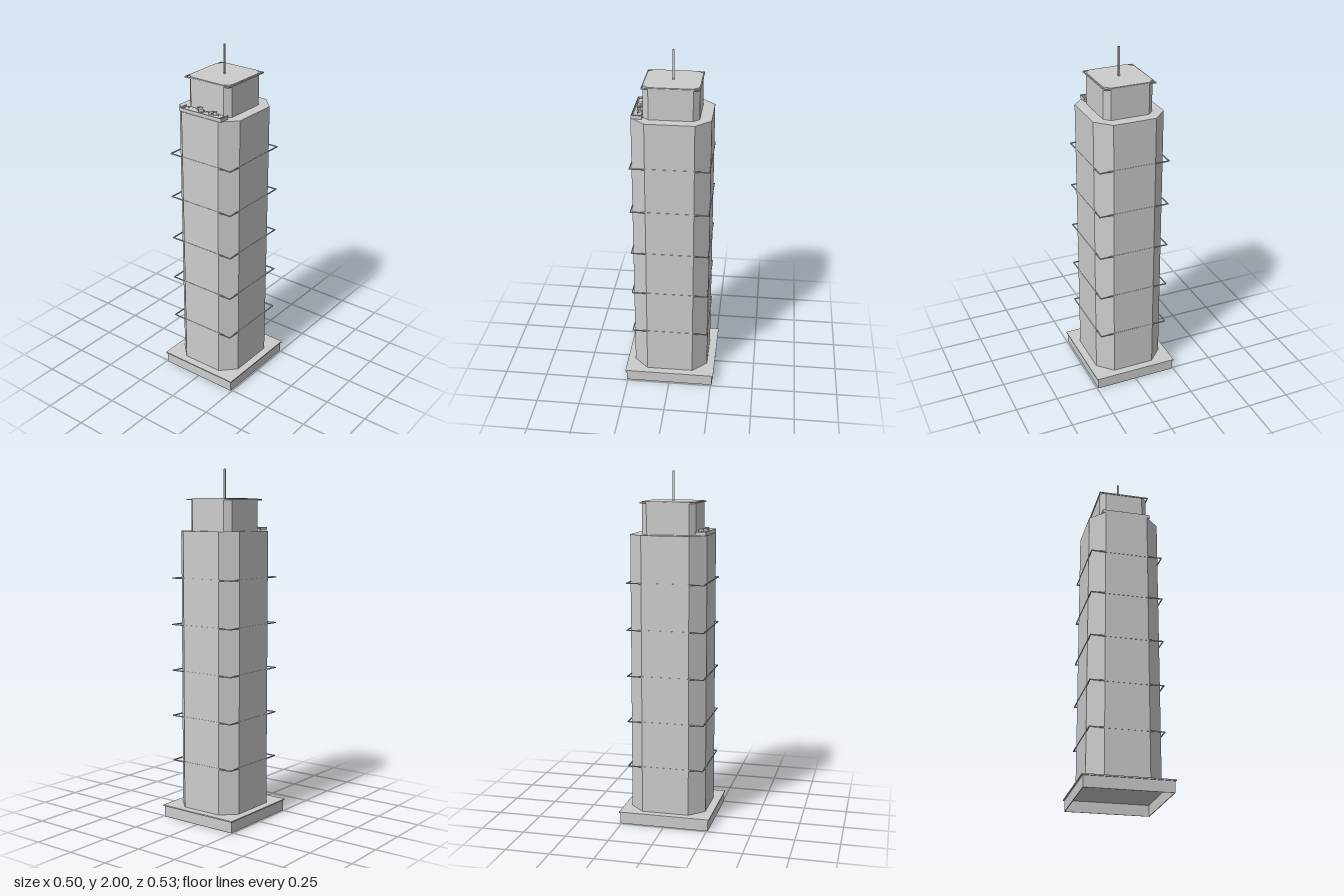
import * as THREE from 'three';

const concrete = new THREE.MeshStandardMaterial({ color: 0xcccccc });
concrete.name = 'concrete grey';

// Closed outline of a rectangle whose corners are cut by cx and cz
function outline(x, z, cx = 0, cz = 0) {
  const pts = cx
    ? [[x, z - cz], [x - cx, z], [cx - x, z], [-x, z - cz], [-x, cz - z], [cx - x, -z], [x - cx, -z], [x, cz - z]]
    : [[x, z], [-x, z], [-x, -z], [x, -z]];
  return pts.map(([a, b]) => new THREE.Vector2(a, b));
}

export function createModel() {
  const model = new THREE.Group();
  model.name = 'tower';

  const add = (name, geometry, x = 0, y = 0, z = 0, turn = 0, parent = model) => {
    const mesh = new THREE.Mesh(geometry, concrete);
    mesh.name = name;
    mesh.position.set(x, y, z);
    mesh.rotation.y = turn;
    parent.add(mesh);
    return mesh;
  };

  // Upright prism from y0 to y1, optionally hollow
  const prism = (name, points, y0, y1, hole) => {
    const shape = new THREE.Shape(points);
    if (hole) shape.holes.push(new THREE.Path(hole));
    const g = new THREE.ExtrudeGeometry(shape, { depth: y1 - y0, bevelEnabled: false });
    g.rotateX(-Math.PI / 2);
    return add(name, g, 0, y0, 0);
  };

  // Thin rectangular frame
  const frame = (name, x, z, width, y0, y1) =>
    prism(name, outline(x, z), y0, y1, outline(x - width, z - width));

  // Plinth, open underneath, with a projecting lid
  frame('plinthWall', 0.242, 0.257, 0.004, 0, 0.064);
  add('plinthLid', new THREE.BoxGeometry(0.498, 0.007, 0.527), 0, 0.0665, 0);

  // Main shaft with cut corners
  prism('shaft', outline(0.205, 0.218, 0.082, 0.083), 0.07, 1.655);

  // Square string courses that stand free at the cut corners
  for (let i = 0; i < 5; i++) {
    const y = 0.337 + i * 0.2635;
    frame('stringCourse', 0.207, 0.22, 0.005, y - 0.003, y + 0.003);
  }

  // Penthouse with its cornice frame and mast
  prism('penthouse', outline(0.142, 0.153, 0.032, 0.033), 1.655, 1.836);
  frame('cornice', 0.147, 0.157, 0.005, 1.826, 1.833);
  add('mast', new THREE.BoxGeometry(0.009, 0.164, 0.009), 0, 1.918, 0);

  // Terrace tray in front of the penthouse
  const terrace = new THREE.Group();
  terrace.name = 'terrace';
  model.add(terrace);
  const box = (name, w, h, d, x, y, z, turn = 0) =>
    add(name, new THREE.BoxGeometry(w, h, d), x, y, z, turn, terrace);

  box('terraceFloor', 0.282, 0.01, 0.06, 0, 1.66, 0.184);
  box('frontRail', 0.282, 0.01, 0.004, 0, 1.67, 0.212);
  for (const s of [-1, 1]) {
    box('sideRail', 0.004, 0.01, 0.056, s * 0.139, 1.67, 0.182);
    box('terracePad', 0.113, 0.006, 0.045, s * 0.066, 1.668, 0.182);
  }

  // Small roof equipment on the pads: width, height, x, z, turn
  const units = [
    [0.025, 0.014, -0.034, 0.17, -0.35],
    [0.026, 0.017, -0.02, 0.182, 0.75],
    [0.02, 0.011, 0.051, 0.181, 0],
    [0.019, 0.016, 0.073, 0.176, 0.6],
  ];
  for (const [w, h, x, z, turn] of units) {
    box('roofUnit', w, h, w, x, 1.671 + h / 2, z, turn);
  }
  for (const x of [-0.1, 0.033, 0.099]) {
    box('ventPin', 0.004, 0.008, 0.004, x, 1.675, 0.182);
  }

  return model;
}
